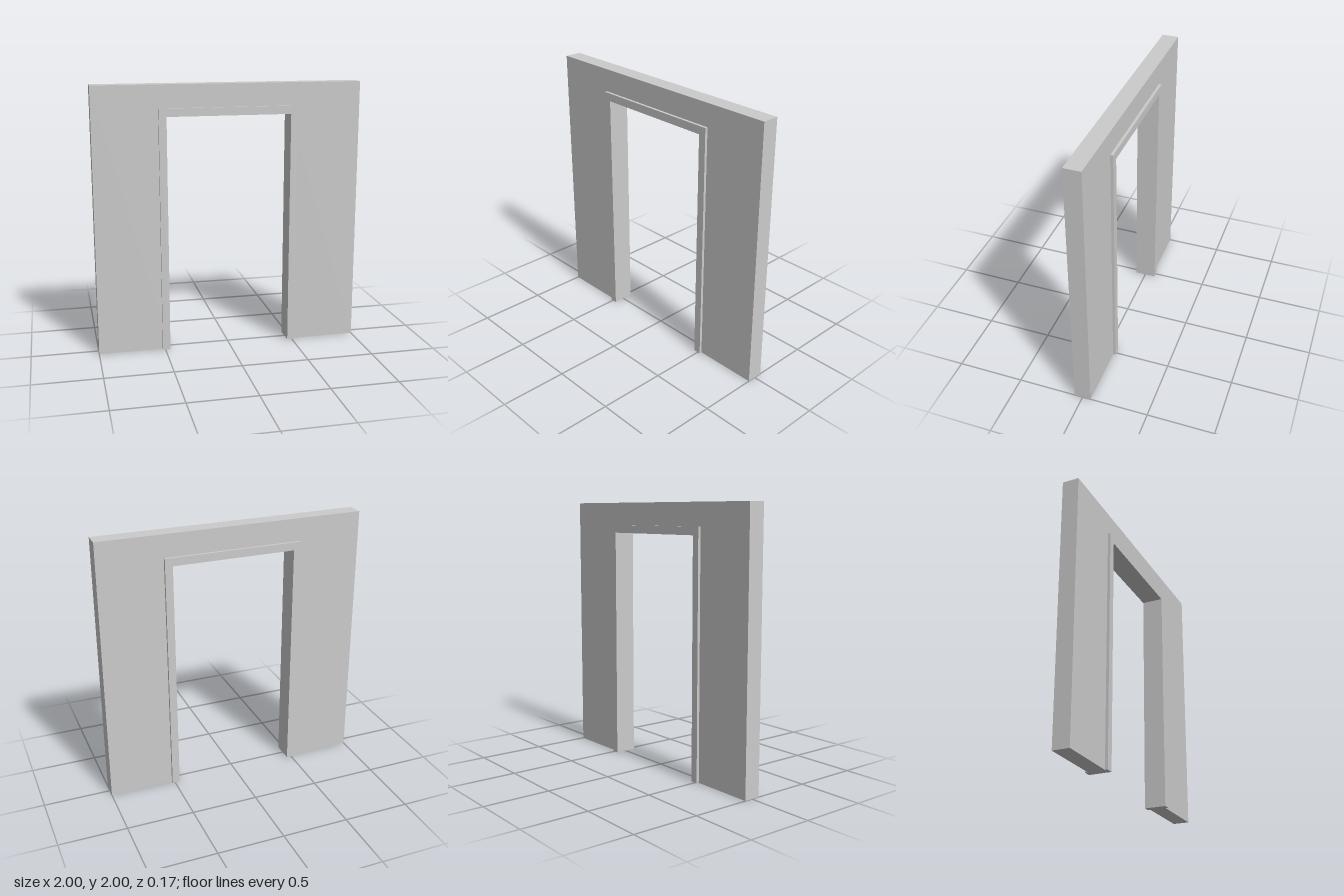
import * as THREE from 'three';

const OPEN_W = 0.463, OPEN_H = 1.77; // clear doorway: half width, height
const TRIM_W = 0.52, TRIM_H = 1.83; // outer edge of the casing
const WALL_Z = 0.0625, TRIM_Z = 0.083; // half depths

// Upside-down U shape around the doorway, extruded from z0 to z1
function portal(name, halfWidth, height, z0, z1, material) {
  const shape = new THREE.Shape([
    [-halfWidth, 0], [-OPEN_W, 0], [-OPEN_W, OPEN_H], [OPEN_W, OPEN_H],
    [OPEN_W, 0], [halfWidth, 0], [halfWidth, height], [-halfWidth, height],
  ].map(([x, y]) => new THREE.Vector2(x, y)));
  const geometry = new THREE.ExtrudeGeometry(shape, { depth: z1 - z0, bevelEnabled: false });
  geometry.translate(0, 0, z0);
  const mesh = new THREE.Mesh(geometry, material);
  mesh.name = name;
  return mesh;
}

export function createModel() {
  const group = new THREE.Group();
  group.name = 'doorwayWall';
  const material = new THREE.MeshStandardMaterial({ color: 0xcccccc, flatShading: true });

  // Wall slab with the door opening
  group.add(portal('wall', 1, 2, -WALL_Z, WALL_Z, material));

  // Raised casing on both faces
  group.add(portal('frontCasing', TRIM_W, TRIM_H, WALL_Z, TRIM_Z, material));
  group.add(portal('backCasing', TRIM_W, TRIM_H, -TRIM_Z, -WALL_Z, material));
  return group;
}
